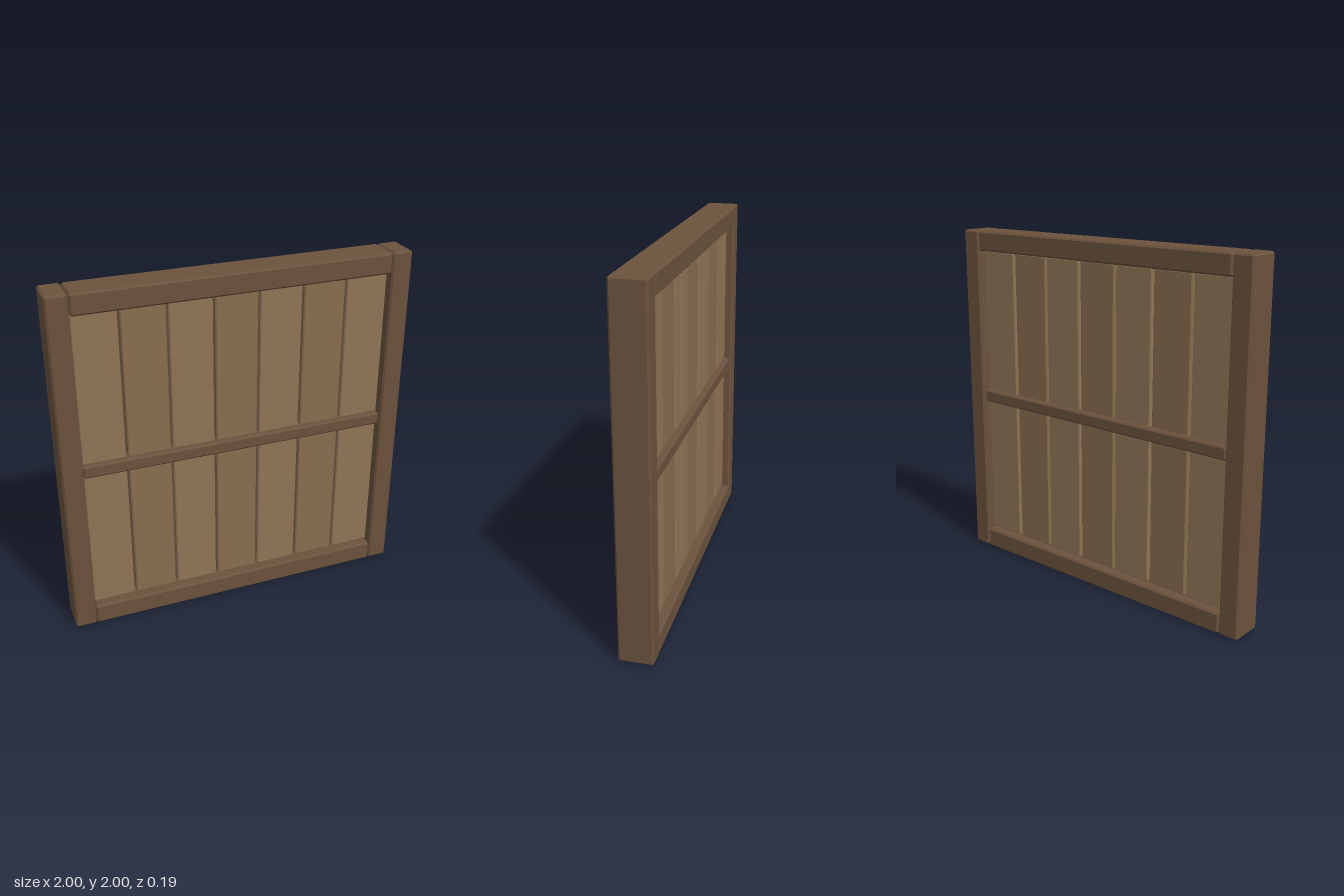
import * as THREE from 'three';
import { ConvexGeometry } from 'three/addons/geometries/ConvexGeometry.js';

// Box with flat chamfers on all edges
function chamferBox(w, h, d, c) {
  const pts = [];
  for (const sx of [-1, 1]) for (const sy of [-1, 1]) for (const sz of [-1, 1]) {
    const x = w / 2, y = h / 2, z = d / 2;
    pts.push(
      new THREE.Vector3(sx * x, sy * (y - c), sz * (z - c)),
      new THREE.Vector3(sx * (x - c), sy * y, sz * (z - c)),
      new THREE.Vector3(sx * (x - c), sy * (y - c), sz * z)
    );
  }
  return new ConvexGeometry(pts);
}

export function createModel() {
  const group = new THREE.Group();
  const mat = (color) => new THREE.MeshStandardMaterial({ color, flatShading: true });
  const frameMat = mat(0x6b523d);
  const boardMats = [mat(0x8f7657), mat(0x876d4e)];

  // Beam given by its x and y ranges, centred on z = 0
  function beam(name, x0, x1, y0, y1, depth, chamfer, material) {
    const mesh = new THREE.Mesh(chamferBox(x1 - x0, y1 - y0, depth, chamfer), material);
    mesh.position.set((x0 + x1) / 2, (y0 + y1) / 2, 0);
    mesh.name = name;
    group.add(mesh);
  }

  // Frame: two posts, top and bottom rails, thinner cross rail
  beam('rightPost', -1, -0.883, 0, 2, 0.19, 0.01, frameMat);
  beam('leftPost', 0.883, 1, 0, 2, 0.19, 0.01, frameMat);
  beam('topRail', -0.88, 0.88, 1.883, 2, 0.19, 0.01, frameMat);
  beam('bottomRail', -0.88, 0.88, 0, 0.117, 0.19, 0.01, frameMat);
  beam('crossRail', -0.88, 0.88, 0.963, 1.037, 0.17, 0.01, frameMat);

  // Upright boards in two alternating tones, with narrow gaps
  const count = 7, pitch = 0.2525, width = 0.24;
  for (let i = 0; i < count; i++) {
    const x = (i - (count - 1) / 2) * pitch;
    beam('board' + (i + 1), x - width / 2, x + width / 2, 0.123, 1.881, 0.1, 0.006, boardMats[i % 2]);
  }
  return group;
}
